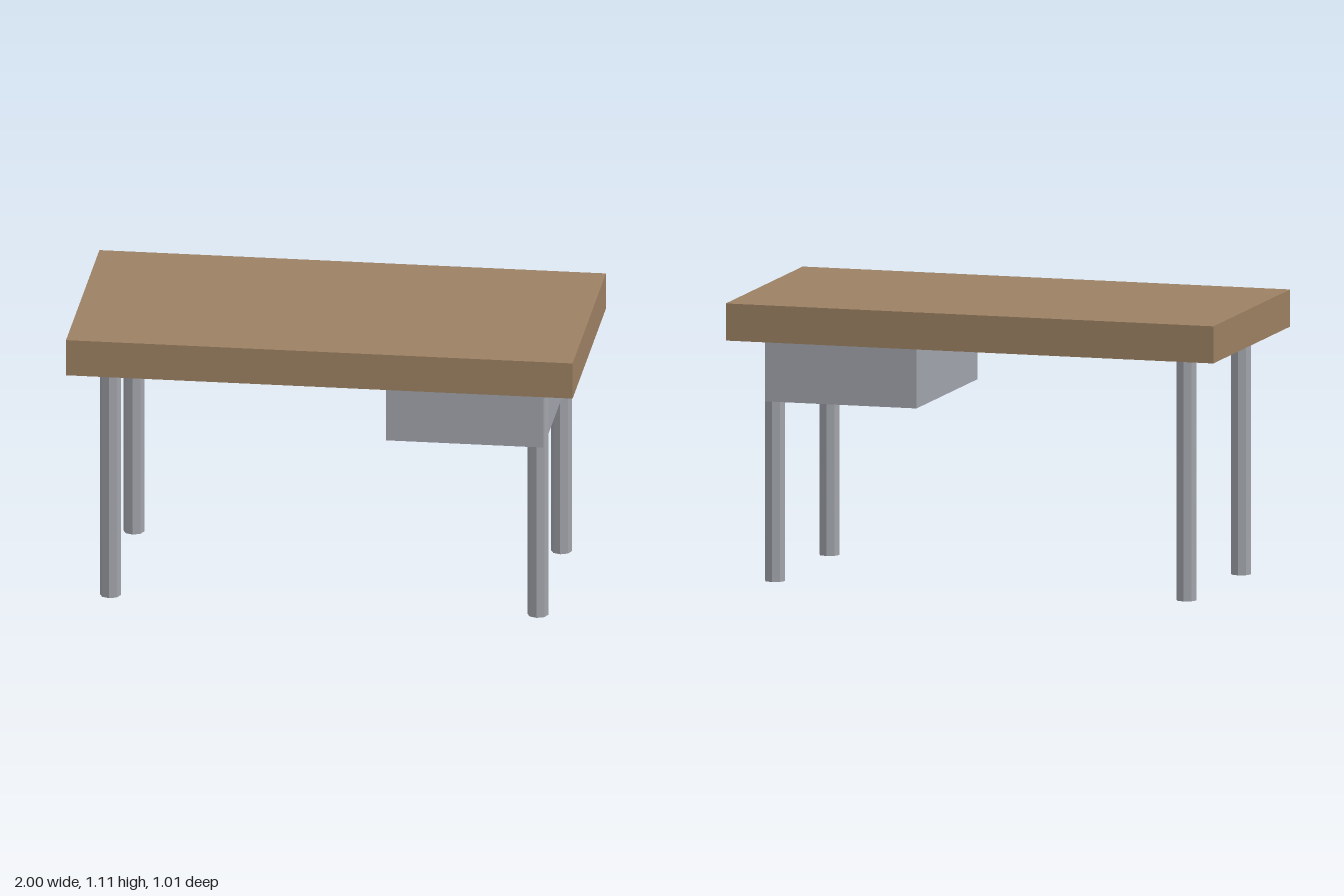
import * as THREE from 'three';

export function createModel() {
  const wood = new THREE.MeshStandardMaterial({ name: 'wood', color: 0x9c8062 });
  const metal = new THREE.MeshStandardMaterial({ name: 'grey metal', color: 0xa0a3aa });
  metal.flatShading = true;

  const desk = new THREE.Group();
  desk.name = 'desk';

  const add = (name, geometry, material, x, y, z) => {
    const mesh = new THREE.Mesh(geometry, material);
    mesh.name = name;
    mesh.position.set(x, y, z);
    desk.add(mesh);
  };

  const underside = 0.965;

  // Thick desktop slab
  add('desktop', new THREE.BoxGeometry(2, 0.147, 1.008), wood, 0, underside + 0.0735, 0);

  // Drawer box hung under the left half
  add('drawerBox', new THREE.BoxGeometry(0.621, 0.25, 0.8), metal, 0.5605, underside - 0.125, 0);

  // Four eight-sided legs, with a corner pointing along each axis
  const legGeometry = new THREE.CylinderGeometry(0.041, 0.041, underside, 8);
  for (const x of [-0.844, 0.844]) {
    for (const z of [-0.356, 0.356]) {
      const name = (z > 0 ? 'front' : 'back') + (x > 0 ? 'Left' : 'Right') + 'Leg';
      add(name, legGeometry, metal, x, underside / 2, z);
    }
  }

  return desk;
}
